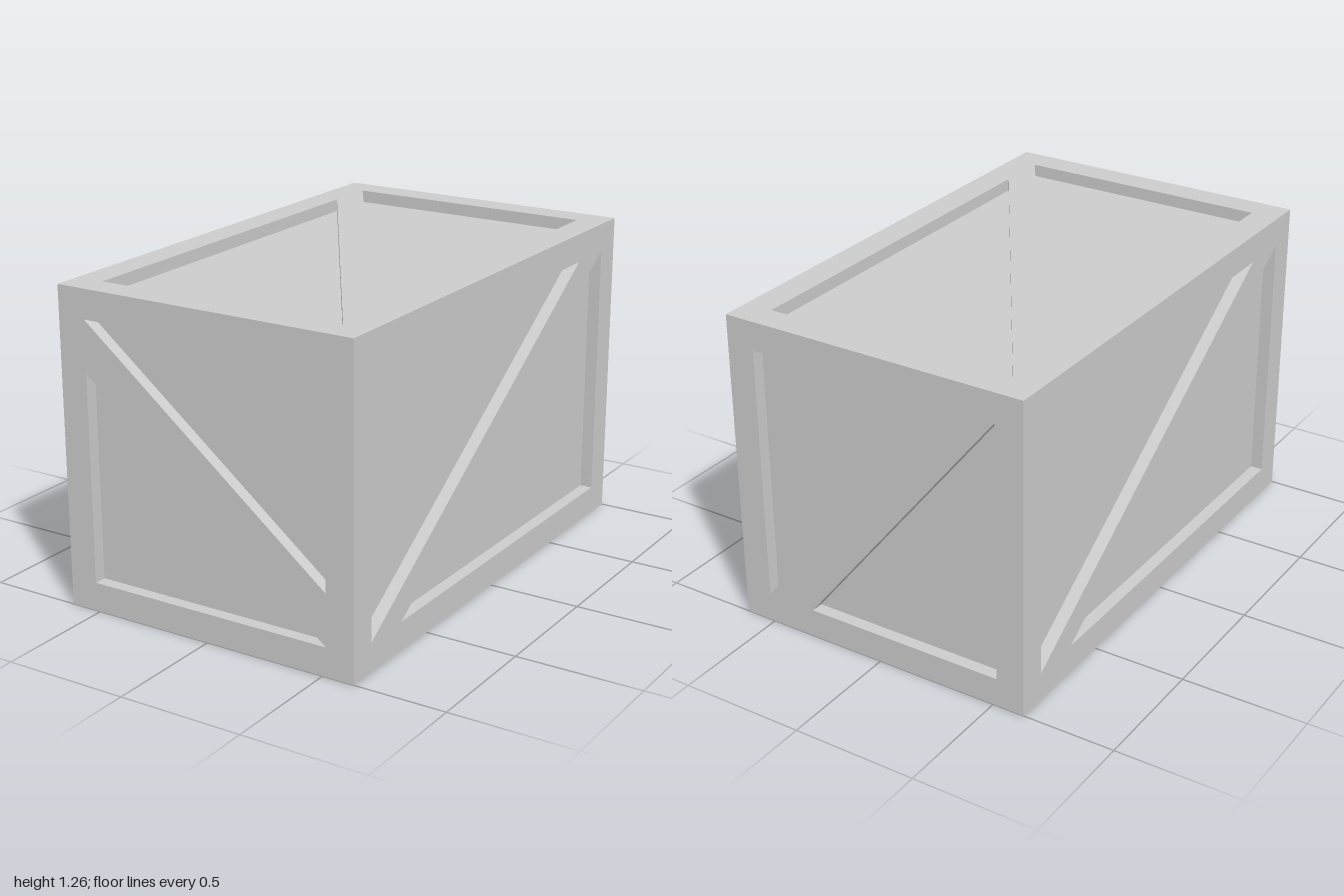
import * as THREE from 'three';

const W = 0.63, H = 0.63, D = 1;   // half sizes of the crate
const BORDER = 0.115, BRACE = 0.205, DEPTH = 0.05;

const grey = new THREE.MeshStandardMaterial({ color: 0xcccccc });
grey.name = 'plain grey';

// Side walls of a recess; corners run counter-clockwise, walls face inwards
function wallGeometry(points) {
  const pos = [];
  points.forEach((p, i) => {
    const q = points[(i + 1) % points.length];
    pos.push(p.x, p.y, 0, q.x, q.y, 0, q.x, q.y, -DEPTH);
    pos.push(p.x, p.y, 0, q.x, q.y, -DEPTH, p.x, p.y, -DEPTH);
  });
  const geo = new THREE.BufferGeometry();
  geo.setAttribute('position', new THREE.Float32BufferAttribute(pos, 3));
  geo.computeVertexNormals();
  return geo;
}

// One crate side in the local xy plane: flat frame, diagonal brace, two sunken triangles
function crateSide(name, w, h, falling) {
  const side = new THREE.Group();
  side.name = name;
  const add = (part, geo) => {
    const mesh = new THREE.Mesh(geo, grey);
    mesh.name = part;
    side.add(mesh);
    return mesh;
  };
  const a = w - BORDER, b = h - BORDER;
  const corners = falling
    ? [[a, b], [-a, b], [a, -b + BRACE]]
    : [[-a, b], [-a, -b], [a - BRACE, b]];
  const frame = new THREE.Shape([[-w, -h], [w, -h], [w, h], [-w, h]].map(p => new THREE.Vector2(...p)));

  // The second triangle is the first turned half way round
  for (const s of [1, -1]) {
    const pts = corners.map(([x, y]) => new THREE.Vector2(x * s, y * s));
    frame.holes.push(new THREE.Path(pts));
    add('recessWalls', wallGeometry(pts));
    add('recessPanel', new THREE.ShapeGeometry(new THREE.Shape(pts))).position.z = -DEPTH;
  }
  add('braceFrame', new THREE.ShapeGeometry(frame));
  return side;
}

export function createModel() {
  const crate = new THREE.Group();
  crate.name = 'crate';
  const q = Math.PI / 2;

  // name, half width, half height, distance from centre, falling brace, x turn, y turn
  const sides = [
    ['frontSide', W, H, D, true, 0, 0],
    ['backSide', W, H, D, false, 0, 2 * q],
    ['leftSide', D, H, W, false, 0, q],
    ['rightSide', D, H, W, false, 0, -q],
    ['topSide', W, D, H, true, -q, 0],
    ['bottomSide', W, D, H, true, q, 0],
  ];
  for (const [name, w, h, dist, falling, rx, ry] of sides) {
    const side = crateSide(name, w, h, falling);
    side.rotation.set(rx, ry, 0);
    side.position.set(0, 0, dist).applyEuler(side.rotation);
    side.position.y += H;
    crate.add(side);
  }
  return crate;
}
